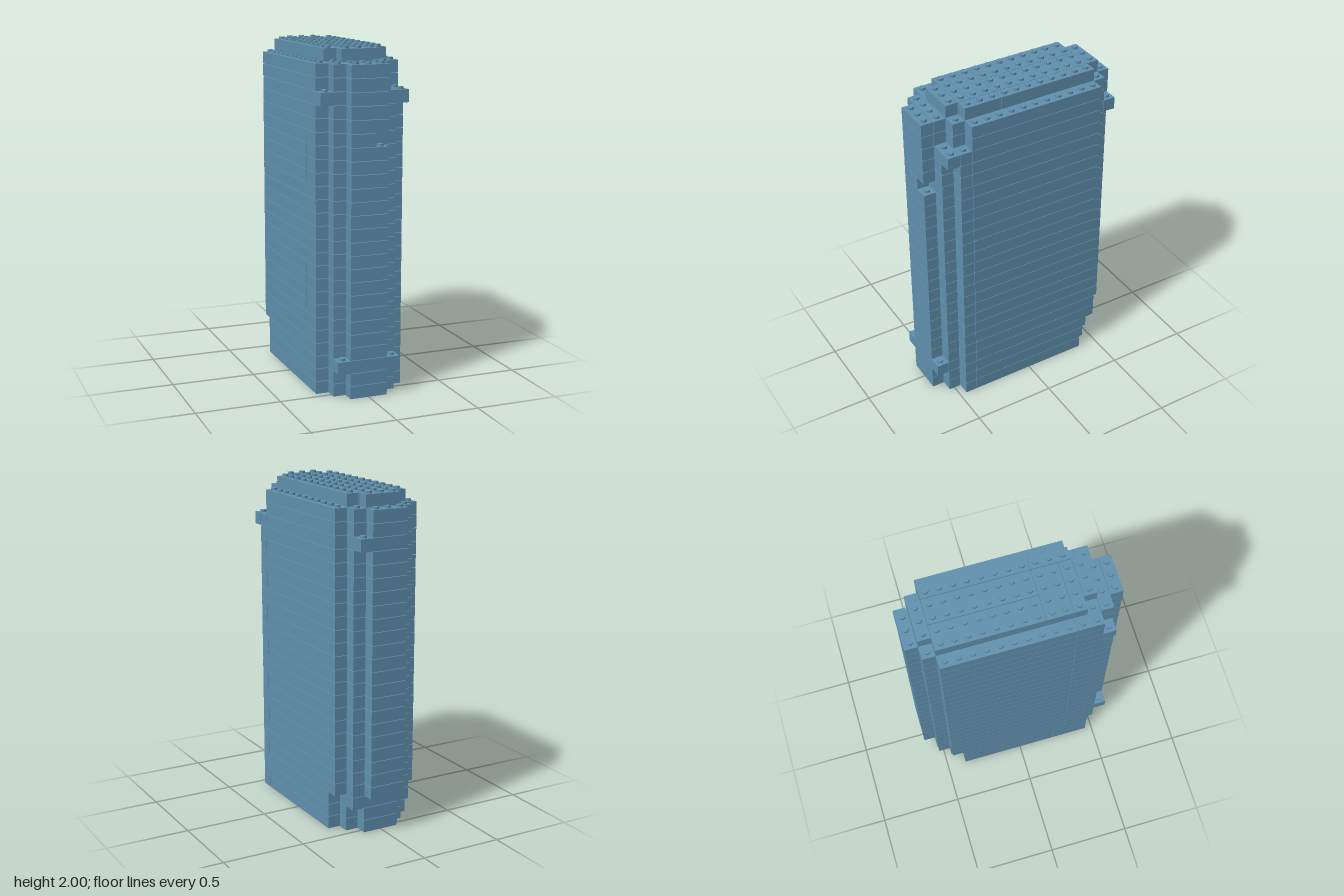
import * as THREE from 'three';
import { mergeGeometries } from 'three/addons/utils/BufferGeometryUtils.js';

const P = 0.0764;            // grid pitch
const H = 0.0765;            // course height
const GAP = 0.003;           // clearance between bricks
const COLS = 7, ROWS = 16, LAYERS = 26;
const cx = i => (i - COLS / 2) * P;
const cz = k => (k - ROWS / 2) * P;

// Bricks of one course as [x0, x1, z0, z1] in grid cells (end exclusive)
function course(n) {
  // Raised cap
  if (n === LAYERS - 1) return [
    [2, 5, 1, 2], [1, 3, 2, 10], [3, 5, 2, 10], [5, 6, 2, 10],
    [1, 5, 10, 12], [1, 5, 12, 13], [5, 6, 10, 13], [2, 5, 13, 14],
  ];
  const back = n < 3 ? 1 : 0;              // the base is set in at the back
  const notched = n >= 23;                 // open front right corner at the top
  const bricks = [];
  // Stepped back
  bricks.push([n === 2 ? 1 : 2, n === 22 || n === 2 ? 6 : 5, back, back + 1]);
  bricks.push([1, 6, back + 1, back + 2]);
  // Broad middle
  const joint = n < 3 ? 11 : 12;
  bricks.push([0, 3, back + 2, joint], [0, 3, joint, 14]);
  bricks.push([3, 7, back + 2, 13], [3, notched ? 6 : 7, 13, 14]);
  // Stepped front, with small ledges and one missing brick
  bricks.push([n === 22 ? 0 : 1, notched ? 5 : n === 22 ? 7 : 6, 14, 15]);
  bricks.push([n === 2 ? 1 : 2, n === 2 ? 6 : n === 19 ? 4 : 5, 15, 16]);
  return bricks;
}

export function createModel() {
  const group = new THREE.Group();
  group.name = 'brickTower';
  const blue = new THREE.MeshStandardMaterial({ color: 0x6090ae });
  blue.name = 'dustyBlue';

  const courses = Array.from({ length: LAYERS }, (_, n) => course(n));
  const filled = (n, i, k) => n < LAYERS &&
    courses[n].some(([a, b, c, d]) => i >= a && i < b && k >= c && k < d);

  const studs = [];
  courses.forEach((bricks, n) => {
    const boxes = [];
    for (const [a, b, c, d] of bricks) {
      boxes.push(new THREE.BoxGeometry((b - a) * P - GAP, H - GAP, (d - c) * P - GAP)
        .translate((cx(a) + cx(b)) / 2, n * H + (H - GAP) / 2, (cz(c) + cz(d)) / 2));
      // Studs on every exposed top cell
      for (let i = a; i < b; i++) for (let k = c; k < d; k++) {
        if (filled(n + 1, i, k)) continue;
        studs.push(new THREE.CylinderGeometry(0.0185, 0.0185, 0.014, 16)
          .translate(cx(i + 0.5), (n + 1) * H + 0.004, cz(k + 0.5)));
      }
    }
    const mesh = new THREE.Mesh(mergeGeometries(boxes), blue);
    mesh.name = n < 3 ? `baseCourse${n + 1}` : n === LAYERS - 1 ? 'capCourse' : `wallCourse${n + 1}`;
    group.add(mesh);
  });

  const studMesh = new THREE.Mesh(mergeGeometries(studs), blue);
  studMesh.name = 'studs';
  group.add(studMesh);
  return group;
}
